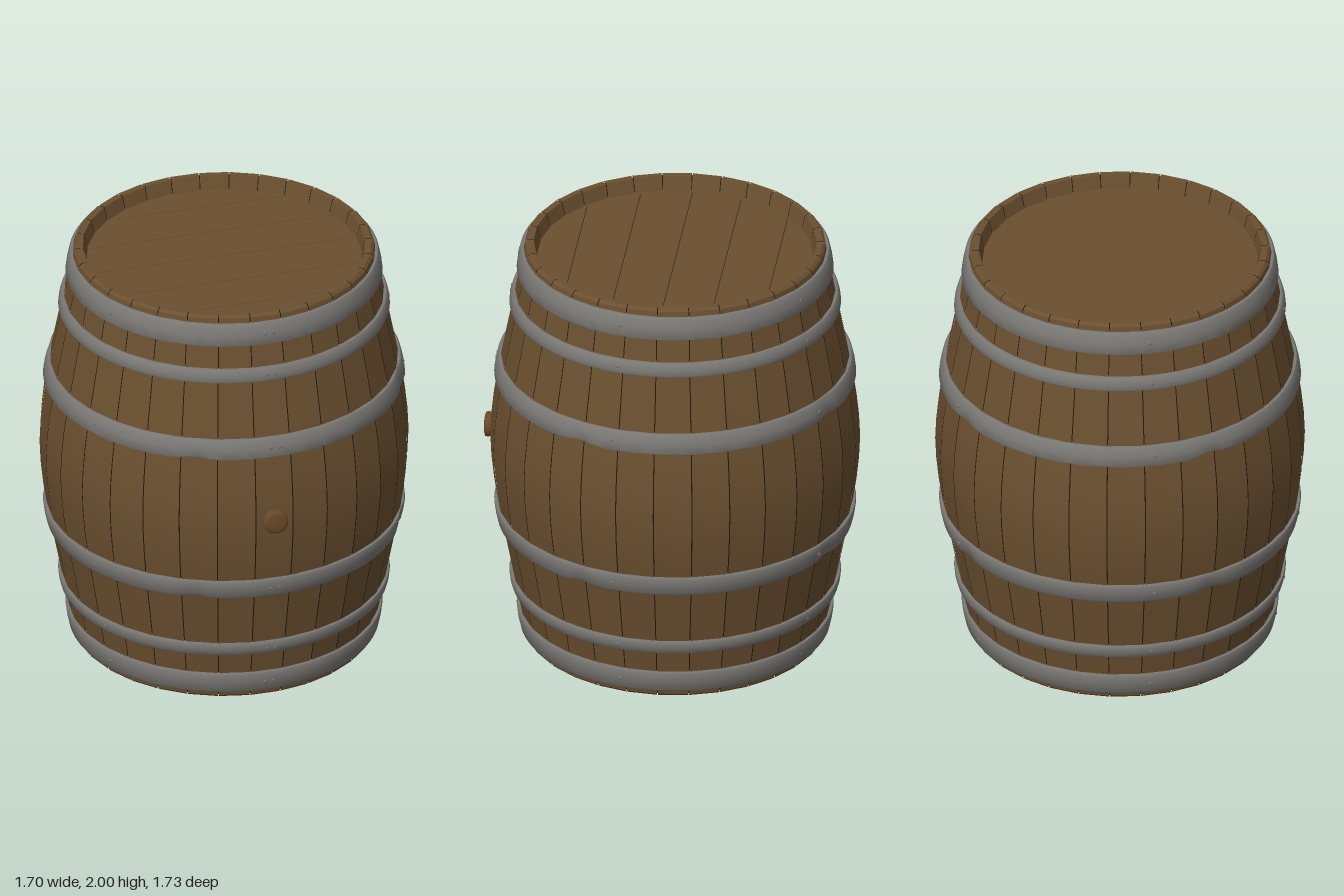
import * as THREE from 'three';
import { toCreasedNormals } from 'three/addons/utils/BufferGeometryUtils.js';

const V = (x, y) => new THREE.Vector2(x, y);
const STAVES = 30;
const STEP = (Math.PI * 2) / STAVES;

// Bulging outline: [distance from mid height, radius]
const OUTLINE = [[0, 0.85], [0.15, 0.843], [0.3, 0.822], [0.42, 0.8], [0.59, 0.767], [0.72, 0.742], [0.86, 0.715], [1, 0.69]];
function radiusAt(y) {
  const d = Math.min(1, Math.abs(y - 1));
  const i = Math.max(1, OUTLINE.findIndex((p) => p[0] >= d));
  const [d0, r0] = OUTLINE[i - 1];
  const [d1, r1] = OUTLINE[i];
  return r0 + ((r1 - r0) * (d - d0)) / (d1 - d0);
}

// Closed stave profile: lower lip, outer curve, upper lip
function staveProfile(inset) {
  const pts = [V(0.63 + inset, 0.075), V(0.65 + inset, inset), V(0.68 - inset, inset)];
  for (let i = 0; i <= 18; i++) {
    const y = 0.012 + (i / 18) * 1.976;
    pts.push(V(radiusAt(y) - inset, THREE.MathUtils.clamp(y, inset, 2 - inset)));
  }
  pts.push(V(0.68 - inset, 2 - inset), V(0.65 + inset, 2 - inset), V(0.63 + inset, 1.925));
  return pts;
}

// Hoop with bevelled edges, slightly hammered in at a few places
function hoopGeometry(y0, y1, dented) {
  const b = 0.008, t = 0.015;
  const at = (y, o) => V(radiusAt(y) + o, y);
  const mid = (y0 + y1) / 2;
  const geo = new THREE.LatheGeometry([
    at(y0, -0.01), at(y0, t - 0.005), at(y0 + b, t), at(mid, t + 0.002),
    at(y1 - b, t), at(y1, t - 0.005), at(y1, -0.01),
  ], 120, STEP / 2);
  if (dented) {
    const p = geo.attributes.position;
    for (let i = 0; i < p.count; i++) {
      const x = p.getX(i), y = p.getY(i), z = p.getZ(i);
      const quarter = Math.PI / 2;
      const a = THREE.MathUtils.euclideanModulo(Math.atan2(x, z) + 0.44 + quarter / 2, quarter) - quarter / 2;
      const dent = Math.exp(-((a / 0.07) ** 2));
      const k = 1 - 0.009 * dent;
      p.setXYZ(i, x * k, y < mid ? y + 0.012 * dent : y, z * k);
    }
  }
  return toCreasedNormals(geo, 0.7);
}

// Straight board of the round head, cut to the circle, spanning a..b
function boardGeometry(a, b, r) {
  const pts = [];
  for (const side of [1, -1]) {
    for (let i = 0; i <= 10; i++) {
      const t = side > 0 ? i / 10 : 1 - i / 10;
      const v = a + (b - a) * t;
      pts.push(V(side * Math.sqrt(Math.max(0, r * r - v * v)), v));
    }
  }
  const geo = new THREE.ExtrudeGeometry(new THREE.Shape(pts), { depth: 0.03, bevelEnabled: false });
  return geo.rotateX(-Math.PI / 2);
}

export function createModel() {
  const model = new THREE.Group();
  model.name = 'barrel';
  const body = new THREE.Group();
  body.name = 'barrelBody';
  body.position.z = -0.017;
  model.add(body);

  const material = (name, color) => {
    const m = new THREE.MeshStandardMaterial({ color });
    m.name = name;
    return m;
  };
  const wood = material('oakWood', 0x6b5030);
  const dark = material('darkSeam', 0x1f170d);
  const metal = material('hoopMetal', 0x7b7975);
  const bungWood = material('bungWood', 0x6c4a2a);

  const add = (parent, name, geometry, mat) => {
    const mesh = new THREE.Mesh(geometry, mat);
    mesh.name = name;
    parent.add(mesh);
    return mesh;
  };

  // Staves, separated by hairline gaps over a dark core
  const profile = staveProfile(0);
  const gap = 0.006;
  for (let i = 0; i < STAVES; i++) {
    const geo = new THREE.LatheGeometry(profile, 1, (i - 0.5) * STEP + gap / 2, STEP - gap);
    add(body, 'stave', toCreasedNormals(geo, 0.5), wood);
  }
  add(body, 'seamCore', new THREE.LatheGeometry(staveProfile(0.008), STAVES, STEP / 2), dark);

  // Iron hoops with rivets, mirrored top and bottom
  const rivetAngles = [-0.014, 0.04, 1.33, 2.62, 3.93, 5.2];
  for (const [y0, y1, dented] of [[0.035, 0.14, false], [0.25, 0.315, false], [0.585, 0.68, true]]) {
    for (const upper of [false, true]) {
      const lo = upper ? 2 - y1 : y0;
      const hi = upper ? 2 - y0 : y1;
      add(body, 'hoop', hoopGeometry(lo, hi, dented), metal);
      const y = (lo + hi) / 2;
      for (const a of rivetAngles) {
        const rivet = add(body, 'rivet', new THREE.SphereGeometry(0.01, 8, 6), metal);
        const r = radiusAt(y) + 0.015;
        rivet.position.set(Math.sin(a) * r, y, Math.cos(a) * r);
        rivet.rotation.y = a;
        rivet.scale.z = 0.5;
      }
    }
  }

  // Recessed heads made of parallel boards
  const seams = [-0.64, -0.458, -0.228, 0.007, 0.237, 0.472, 0.64];
  for (const top of [true, false]) {
    const head = new THREE.Group();
    head.name = top ? 'topHead' : 'bottomHead';
    head.position.y = top ? 1.905 : 0.095;
    if (!top) head.rotation.x = Math.PI;
    for (let i = 0; i < seams.length - 1; i++) {
      add(head, 'headBoard', boardGeometry(seams[i] + 0.002, seams[i + 1] - 0.002, 0.64), wood);
    }
    add(head, 'headBacking', new THREE.CylinderGeometry(0.64, 0.64, 0.02, 60), dark);
    body.add(head);
  }

  // Bung plugged into the front
  const bung = add(body, 'bung', new THREE.LatheGeometry(
    [V(0.05, 0), V(0.059, 0.055), V(0.057, 0.066), V(0.04, 0.071), V(0, 0.073)], 20), bungWood);
  bung.rotation.x = Math.PI / 2;
  bung.position.set(0, 1, 0.81);

  return model;
}
